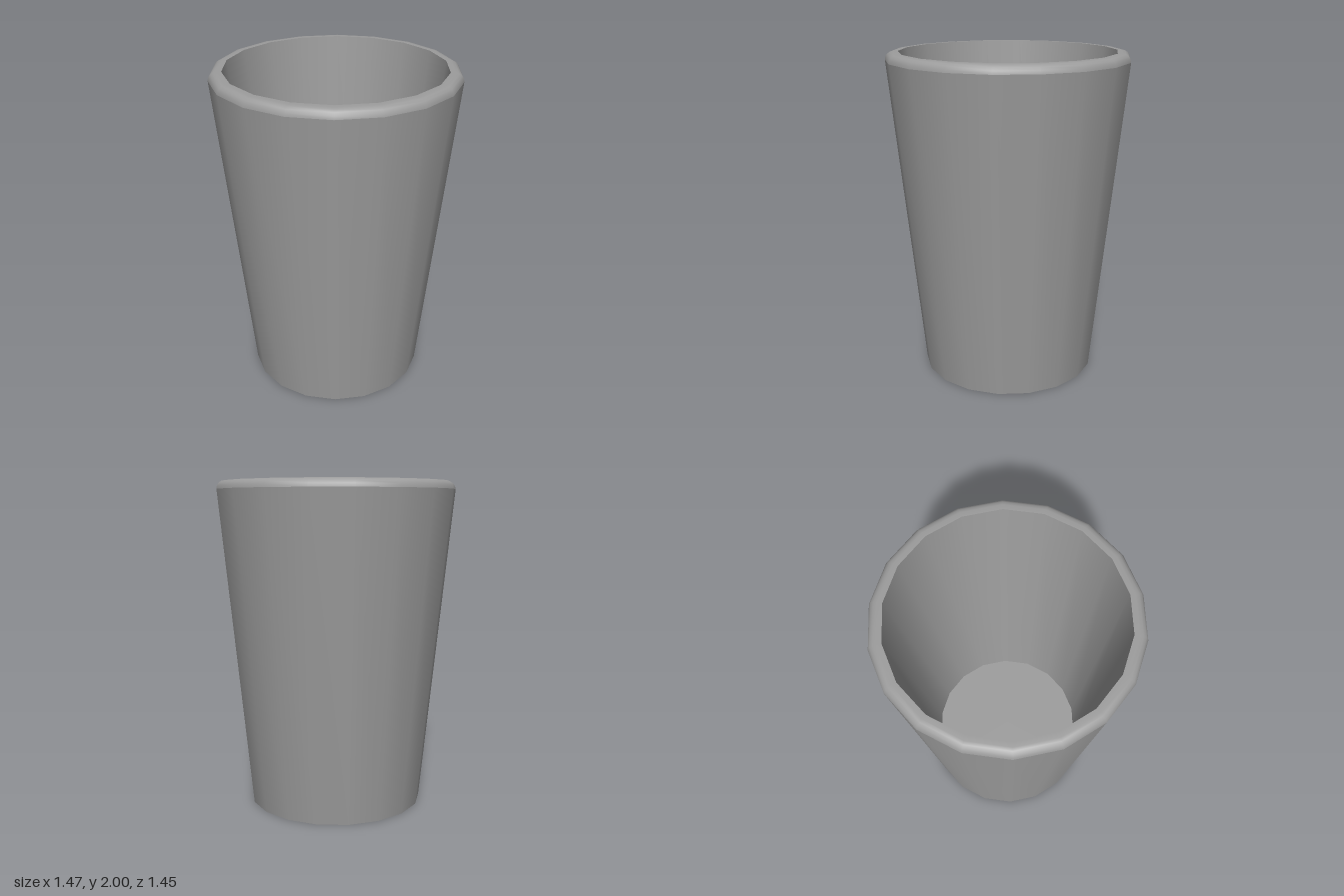
import * as THREE from 'three';

const SIDES = 18;

export function createModel() {
  const cup = new THREE.Group();
  cup.name = 'cup';
  const material = new THREE.MeshStandardMaterial({ color: 0x9c9c9c });

  // Revolves a [radius, height] profile, with a corner on the +x axis
  function addLathe(name, profile) {
    const points = profile.map(([r, y]) => new THREE.Vector2(r, y));
    const geometry = new THREE.LatheGeometry(points, SIDES, Math.PI / 2);
    const mesh = new THREE.Mesh(geometry, material);
    mesh.name = name;
    cup.add(mesh);
  }

  // Tapered outer wall
  addLathe('outerWall', [[0.54, 0], [0.734, 1.95]]);

  // Rounded lip, flat towards the inside
  const lip = [];
  const radius = 0.05;
  for (let i = 0; i <= 4; i++) {
    const a = (i / 4) * (Math.PI / 2);
    lip.push([0.684 + radius * Math.cos(a), 1.95 + radius * Math.sin(a)]);
  }
  lip.push([0.655, 2]);
  addLathe('lip', lip);

  // Inside of the cup, with sharp edges at the lip and floor
  addLathe('innerWall', [[0.655, 2], [0.48, 0.22]]);
  addLathe('innerFloor', [[0.48, 0.22], [0, 0.22]]);

  // Flat underside
  addLathe('base', [[0, 0], [0.54, 0]]);

  return cup;
}
